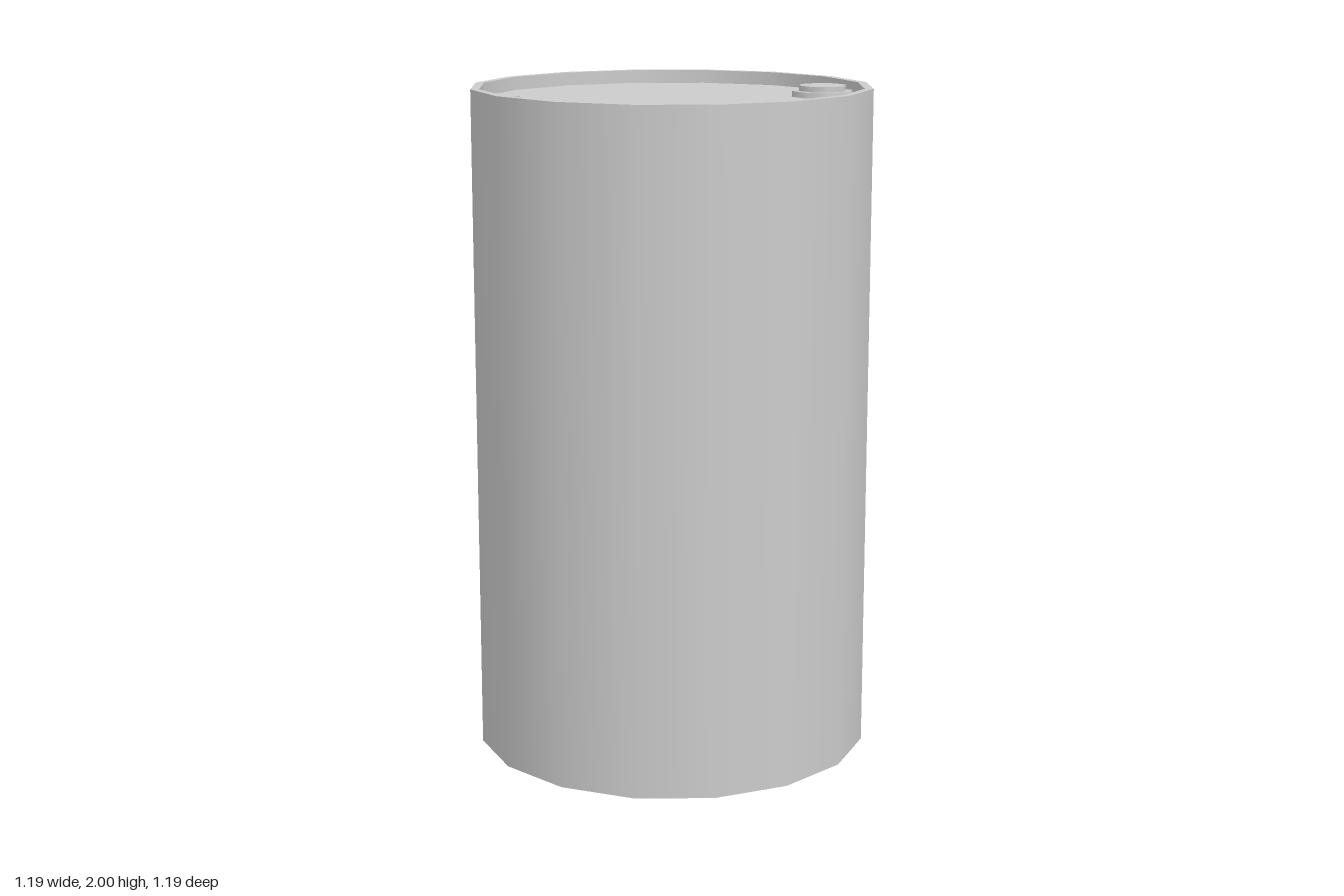
import * as THREE from 'three';
import { mergeGeometries } from 'three/addons/utils/BufferGeometryUtils.js';

const material = new THREE.MeshStandardMaterial({ color: 0xcccccc });

// Revolves each profile segment separately: smooth around, sharp between segments
function turned(name, profile, sides) {
  const bands = [];
  for (let i = 0; i < profile.length - 1; i++) {
    const pair = [profile[i], profile[i + 1]].map(([r, y]) => new THREE.Vector2(r, y));
    bands.push(new THREE.LatheGeometry(pair, sides));
  }
  const mesh = new THREE.Mesh(mergeGeometries(bands), material);
  mesh.name = name;
  return mesh;
}

// Octagonal plug: a wide flange with a narrower cap on top
function plug(name, x, z, flangeR, capR, flangeH, capH) {
  const mesh = turned(name, [
    [flangeR, 0], [flangeR * 0.985, flangeH], [capR, flangeH], [capR, capH], [0, capH],
  ], 8);
  mesh.position.set(x, LID_Y, z);
  return mesh;
}

const RADIUS = 0.596, INNER = 0.57, HEIGHT = 2, LID_Y = 1.96;

export function createModel() {
  const model = new THREE.Group();
  model.name = 'drum';

  // Closed base, straight wall, raised rim and recessed lid
  model.add(turned('drumBody', [[0, 0], [RADIUS, 0], [RADIUS, HEIGHT]], 16));
  model.add(turned('rim', [[RADIUS, HEIGHT], [INNER, HEIGHT], [INNER, LID_Y]], 16));
  model.add(turned('lid', [[INNER, LID_Y], [0, LID_Y]], 16));

  // Filler plug and smaller vent plug on opposite sides of the lid
  model.add(plug('fillerPlug', 0.325, -0.328, 0.095, 0.073, 0.017, 0.033));
  model.add(plug('ventPlug', -0.348, 0.353, 0.057, 0.043, 0.01, 0.02));

  return model;
}
